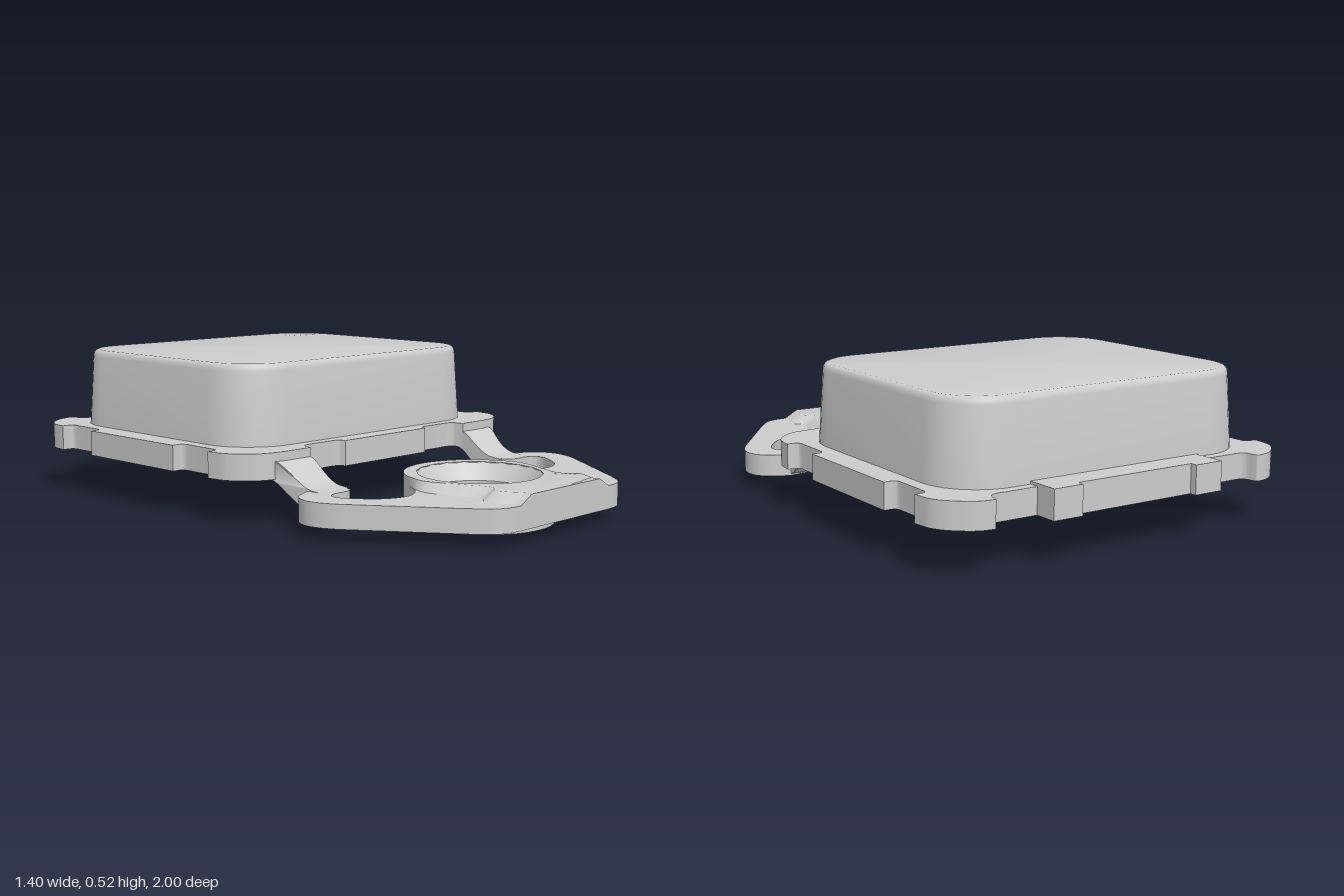
import * as THREE from 'three';
import { toCreasedNormals } from 'three/addons/utils/BufferGeometryUtils.js';

const grey = new THREE.MeshStandardMaterial({ color: 0xcccccc });

function part(name, geometry, crease = 0.6) {
  const mesh = new THREE.Mesh(toCreasedNormals(geometry, crease), grey);
  mesh.name = name;
  return mesh;
}

// Closed outline from [x, z, cornerRadius] points
function outline(points) {
  const shape = new THREE.Shape();
  const n = points.length;
  points.forEach(([x, z, r = 0], i) => {
    const p = new THREE.Vector2(x, z);
    const toward = ([a, b]) => {
      const d = new THREE.Vector2(a - x, b - z);
      return p.clone().add(d.setLength(Math.min(r, d.length() * 0.5)));
    };
    const a = toward(points[(i + n - 1) % n]), b = toward(points[(i + 1) % n]);
    if (i === 0) shape.moveTo(a.x, a.y); else shape.lineTo(a.x, a.y);
    if (r > 0) shape.quadraticCurveTo(x, z, b.x, b.y);
  });
  shape.closePath();
  return shape;
}

const mirrored = half => [...half, ...half.slice().reverse().map(([x, z, r]) => [-x, z, r])];

// Horizontal slab between two heights
function slab(shape, y0, y1) {
  return new THREE.ExtrudeGeometry(shape, { depth: y1 - y0, bevelEnabled: false, curveSegments: 10 })
    .rotateX(Math.PI / 2).translate(0, y1, 0);
}

// Side profile given as (z, y), extruded across x
function across(points, x0, x1) {
  return new THREE.ExtrudeGeometry(outline(points), { depth: x1 - x0, bevelEnabled: false, curveSegments: 8 })
    .rotateY(-Math.PI / 2).translate(x1, 0, 0);
}

// Tapered cover lofted through rounded rectangles [halfX, halfZ, radius, y]
function coverGeometry(sections, zc) {
  const steps = 10, pos = [], idx = [];
  for (const [hx, hz, r, y] of sections) {
    for (let c = 0; c < 4; c++) {
      const sx = c === 0 || c === 3 ? 1 : -1, sz = c < 2 ? 1 : -1;
      for (let k = 0; k <= steps; k++) {
        const a = (c + k / steps) * Math.PI / 2;
        pos.push(sx * (hx - r) + r * Math.cos(a), y, zc + sz * (hz - r) + r * Math.sin(a));
      }
    }
  }
  const n = 4 * (steps + 1), top = (sections.length - 1) * n;
  for (let s = 0; s < sections.length - 1; s++) {
    for (let i = 0; i < n; i++) {
      const a = s * n + i, b = s * n + (i + 1) % n;
      idx.push(a, a + n, b, b, a + n, b + n);
    }
  }
  pos.push(0, sections.at(-1)[3], zc);
  for (let i = 0; i < n; i++) idx.push(top + n, top + (i + 1) % n, top + i);
  const g = new THREE.BufferGeometry();
  g.setAttribute('position', new THREE.Float32BufferAttribute(pos, 3));
  g.setIndex(idx);
  return g;
}

export function createModel() {
  const model = new THREE.Group();

  // Flange with notched edges
  model.add(part('flange', slab(outline(mirrored([
    [0.34, -0.915], [0.52, -0.915, 0.03], [0.53, -0.975, 0.01], [0.6, -0.965, 0.07], [0.69, -0.88, 0.07], [0.7, -0.79],
    [0.655, -0.79, 0.025], [0.655, -0.61, 0.025], [0.7, -0.61],
    [0.7, -0.135], [0.655, -0.135, 0.025], [0.655, 0.05, 0.025], [0.7, 0.05],
    [0.69, 0.14, 0.07], [0.61, 0.22, 0.07], [0.52, 0.232], [0.4, 0.232],
    [0.39, 0.18, 0.03], [0.22, 0.18, 0.03], [0.21, 0.21],
  ])), 0.155, 0.245)));

  // Rear tab with a shallow recess in its middle
  model.add(part('rearTab', slab(outline(mirrored([
    [0.23, -0.975], [0.23, -1], [0.34, -1], [0.34, -0.87],
  ])), 0.155, 0.255)));

  // Tapered cover
  model.add(part('cover', coverGeometry([
    [0.608, 0.51, 0.2, 0.24], [0.593, 0.495, 0.19, 0.5], [0.59, 0.492, 0.187, 0.514],
    [0.583, 0.485, 0.18, 0.522], [0.573, 0.475, 0.17, 0.525],
  ], -0.37)));

  // Crossed ribs under the flange
  const ribs = new THREE.Group();
  ribs.name = 'crossRibs';
  ribs.add(part('longRib', across([
    [-0.07, 0.16], [-0.2, 0.03, 0.06], [-0.45, 0.025, 0.01], [-0.452, 0.155, 0.05], [-0.48, 0.16],
  ], -0.02, 0.02)));
  const crossRib = part('crossRib', across([
    [0.27, 0.16], [0.14, 0.027], [-0.14, 0.027], [-0.27, 0.16],
  ], -0.02, 0.02));
  crossRib.rotation.y = Math.PI / 2;
  crossRib.position.z = -0.365;
  ribs.add(crossRib);
  model.add(ribs);

  // Mounting plate, wrapping the boss at its inner edge
  const zc = 0.64, rOut = 0.258;
  const arc = [];
  for (let i = 0; i <= 14; i++) {
    const a = (0.5 + i) / 14.5 * THREE.MathUtils.degToRad(66);
    arc.push([rOut * Math.sin(a), zc - rOut * Math.cos(a)]);
  }
  const bore = () => new THREE.Path().absarc(0, zc, 0.215, 0, Math.PI * 2, true);
  const plate = outline(mirrored([
    ...arc, [0.29, 0.615, 0.06], [0.37, 0.655, 0.09], [0.47, 0.62, 0.08], [0.555, 0.495, 0.05],
    [0.52, 0.445, 0.05], [0.42, 0.455, 0.06], [0.4, 0.38], [0.54, 0.36],
    [0.64, 0.405, 0.12], [0.66, 0.52, 0.1], [0.36, 0.95, 0.1], [0.3, 1, 0.06],
  ]));
  plate.holes.push(bore());
  model.add(part('mountingPlate', slab(plate, 0.05, 0.13)));

  // Raised pad whose flanks slope inwards
  const pad = outline(mirrored([
    ...arc, [0.29, 0.62, 0.05], [0.28, 0.72, 0.05], [0.235, 0.82, 0.04], [0.24, 0.85, 0.02],
    [0.275, 0.88, 0.03], [0.27, 0.92, 0.03], [0.235, 0.97, 0.03], [0.24, 1],
  ]));
  pad.holes.push(bore());
  const padGeometry = slab(pad, 0.129, 0.16);
  const p = padGeometry.attributes.position;
  for (let i = 0; i < p.count; i++) {
    const x = p.getX(i), z = p.getZ(i);
    if (p.getY(i) > 0.15 && Math.hypot(x, z - zc) > 0.22) {
      p.setX(i, x - Math.sign(x) * 0.055 * THREE.MathUtils.smoothstep(z, 0.5, 0.75));
    }
  }
  model.add(part('raisedPad', padGeometry));

  // Ring boss with countersunk bore
  model.add(part('ringBoss', new THREE.LatheGeometry([
    [0.215, 0.16], [0.17, 0.1], [0.17, 0], [0.257, 0], [0.257, 0.055],
  ].map(([r, y]) => new THREE.Vector2(r, y)), 64).translate(0, 0, zc)));

  // Cranked arms joining plate to flange, flaring towards the flange
  for (const side of [1, -1]) {
    const arm = across([
      [0.41, 0.05], [0.41, 0.13], [0.34, 0.136, 0.05], [0.24, 0.215, 0.02],
      [0.17, 0.215], [0.17, 0.16], [0.23, 0.15, 0.03], [0.31, 0.075, 0.05], [0.38, 0.05, 0.02],
    ], side > 0 ? 0.4 : -0.54, side > 0 ? 0.54 : -0.4);
    const q = arm.attributes.position;
    for (let i = 0; i < q.count; i++) {
      if (Math.abs(q.getX(i)) > 0.5) {
        q.setX(i, side * (0.535 + 0.025 * (1 - THREE.MathUtils.smoothstep(q.getZ(i), 0.22, 0.32))));
      }
    }
    model.add(part(side > 0 ? 'leftArm' : 'rightArm', arm));
  }

  return model;
}
